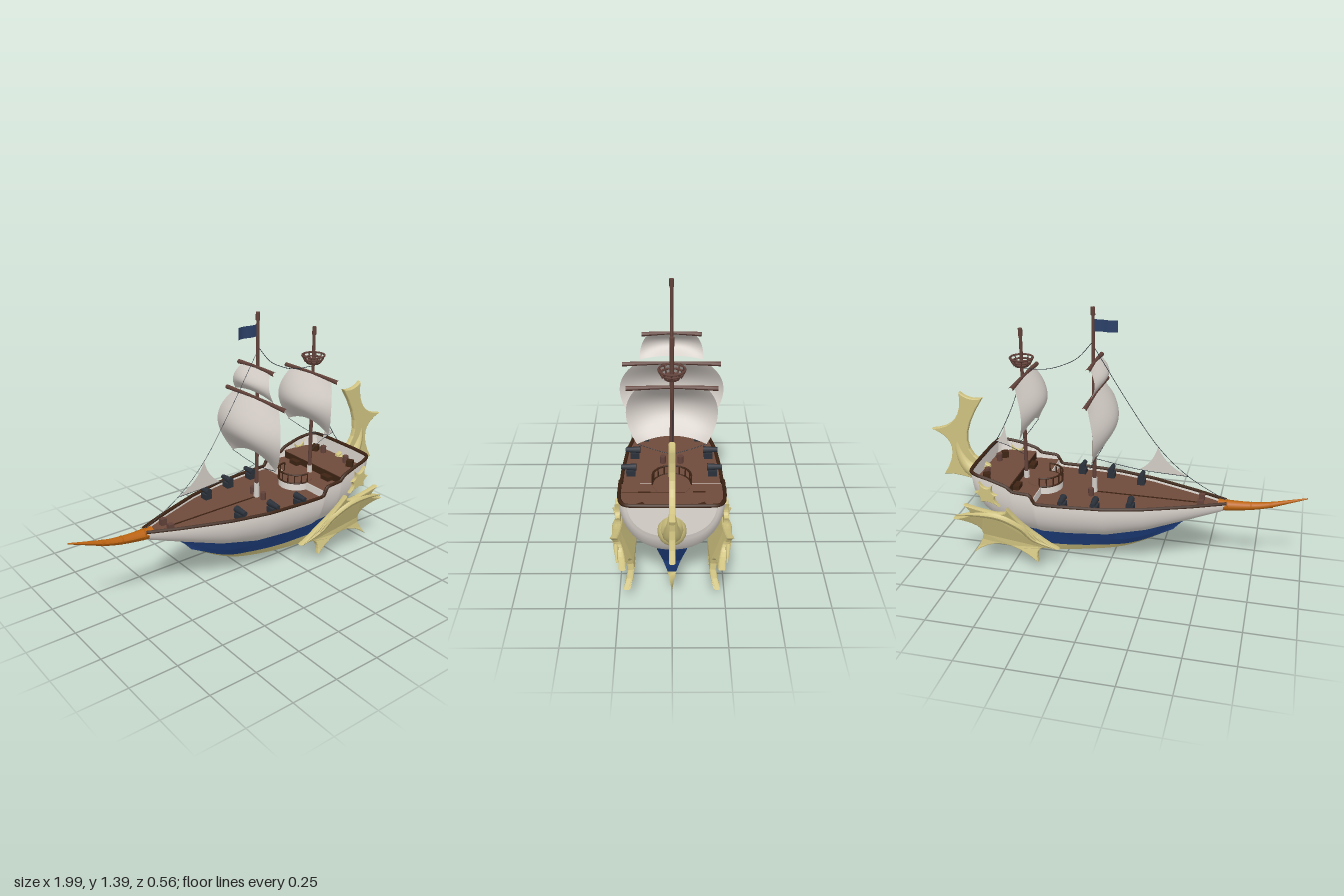
import * as THREE from 'three';

const mat = (name, color, side = THREE.FrontSide) => Object.assign(new THREE.MeshStandardMaterial({ color, side }), { name });
const V = (x, y, z = 0) => new THREE.Vector3(x, y, z);
const lerp = THREE.MathUtils.lerp;

// piecewise linear lookup in rows [key, value, value...]
function look(rows, k) {
  let i = 0;
  while (i < rows.length - 2 && k > rows[i + 1][0]) i++;
  const a = rows[i], b = rows[i + 1];
  const t = THREE.MathUtils.clamp((k - a[0]) / (b[0] - a[0]), 0, 1);
  return a.slice(1).map((v, j) => lerp(v, b[j + 1], t));
}

// smooth surface from a function of (u, v) in 0..1
function grid(nu, nv, fn) {
  const pos = [], idx = [];
  for (let i = 0; i <= nu; i++) for (let j = 0; j <= nv; j++) pos.push(...fn(i / nu, j / nv));
  for (let i = 0; i < nu; i++) for (let j = 0; j < nv; j++) {
    const a = i * (nv + 1) + j, b = a + nv + 1;
    idx.push(a, b, a + 1, b, b + 1, a + 1);
  }
  const g = new THREE.BufferGeometry();
  g.setAttribute('position', new THREE.Float32BufferAttribute(pos, 3));
  g.setIndex(idx);
  g.computeVertexNormals();
  return g;
}

// tube through points whose radius follows a rule
function tube(pts, radius, sides = 6, seg = 24, tension = 0.5) {
  const curve = new THREE.CatmullRomCurve3(pts, false, 'catmullrom', tension);
  const g = new THREE.TubeGeometry(curve, seg, 1, sides), p = g.attributes.position;
  const r = typeof radius === 'function' ? radius : () => radius;
  for (let i = 0; i < p.count; i++) {
    const t = Math.floor(i / (sides + 1)) / seg, c = curve.getPointAt(t);
    const q = V(p.getX(i), p.getY(i), p.getZ(i)).sub(c).multiplyScalar(r(t)).add(c);
    p.setXYZ(i, q.x, q.y, q.z);
  }
  g.computeVertexNormals();
  return g;
}

// outline alternating sharp tips and the hollows between them
function thorns(list) {
  const s = new THREE.Shape();
  s.moveTo(...list[0]);
  for (let i = 1; i < list.length; i += 2) s.quadraticCurveTo(...list[i], ...list[(i + 1) % list.length]);
  return s;
}
const plate = (shape, depth, bevel) => new THREE.ExtrudeGeometry(shape, {
  depth, bevelThickness: bevel, bevelSize: bevel * 0.6, bevelOffset: -bevel * 0.4, bevelSegments: 2, curveSegments: 8,
}).translate(0, 0, -depth / 2);

// hull stations: x, half width, sheer height, bottom height
const stations = [
  [-0.6, 0.025, 0.42, 0.375], [-0.43, 0.098, 0.42, 0.315], [-0.2, 0.182, 0.42, 0.235], [0, 0.23, 0.42, 0.19],
  [0.2, 0.248, 0.42, 0.175], [0.34, 0.252, 0.42, 0.172], [0.37, 0.252, 0.468, 0.173], [0.46, 0.252, 0.475, 0.18],
  [0.49, 0.25, 0.5, 0.187], [0.58, 0.246, 0.528, 0.215], [0.64, 0.24, 0.54, 0.265], [0.68, 0.225, 0.547, 0.33], [0.695, 0.2, 0.55, 0.38],
];
const section = (x, a) => {
  const [w, top, low] = look(stations, x);
  return [x, top - (top - low) * Math.cos(a), w * Math.sign(a) * Math.pow(Math.abs(Math.sin(a)), 0.85)];
};
const widthAt = (x, y) => {
  const [w, top, low] = look(stations, x);
  const s = THREE.MathUtils.clamp((top - y) / (top - low), 0, 1);
  return w * Math.pow(Math.sqrt(1 - s * s), 0.85);
};

export function createModel() {
  const D = THREE.DoubleSide;
  const white = mat('hull white', 0xe2dbd4, D), cloth = mat('sail cloth', 0xd3ccc6, D), blue = mat('keel blue', 0x1f4080, D);
  const gold = mat('horn gold', 0xcfc280, D), deckMat = mat('deck brown', 0x6e4a3b, D), trim = mat('dark trim', 0x3e2414);
  const wood = mat('mast brown', 0x62423a), orange = mat('bowsprit orange', 0xbd640f), iron = mat('iron', 0x2b313a), navy = mat('flag navy', 0x2b4068, D);
  const root = new THREE.Group();
  const add = (name, geo, m, x = 0, y = 0, z = 0) => {
    const mesh = new THREE.Mesh(geo, m);
    mesh.name = name;
    mesh.position.set(x, y, z);
    root.add(mesh);
    return mesh;
  };
  const cyl = (a, b, h, n = 10) => new THREE.CylinderGeometry(a, b, h, n);
  const box = (a, b, c) => new THREE.BoxGeometry(a, b, c);

  // hull shell, transom and bow end; u is mapped so every station is met
  const xs = [];
  stations.forEach((s, i) => { if (i) xs.push(lerp(stations[i - 1][0], s[0], 0.5)); xs.push(s[0]); });
  xs.sort((a, b) => a - b);
  const n = xs.length - 1;
  add('hull', grid(n, 28, (u, v) => section(xs[Math.round(u * n)], (v - 0.5) * Math.PI * 0.99999)), white);
  for (const x of [-0.6, 0.695]) add(x > 0 ? 'transom' : 'bowEnd', grid(4, 28, (u, v) => {
    const [, y, z] = section(x, (v - 0.5) * Math.PI * 0.99999);
    return [x, y, z * (1 - u)];
  }), white);

  // decks and the bulkheads between them
  const deck = (name, x0, x1, y) => add(name, grid(24, 2, (u, v) => {
    const x = lerp(x0, x1, u);
    return [x, y, (1 - 2 * v) * (widthAt(x, y) - 0.002)];
  }), deckMat);
  deck('mainDeck', -0.595, 0.37, 0.398);
  deck('midDeck', 0.36, 0.5, 0.44);
  deck('sternDeck', 0.49, 0.692, 0.478);
  add('bulkhead', box(0.006, 0.045, 0.48), white, 0.36, 0.417);
  add('bulkhead', box(0.006, 0.04, 0.47), trim, 0.49, 0.458);
  add('centrePlank', box(0.55, 0.004, 0.006), trim, -0.18, 0.4);

  // gunwale rail around the whole sheer
  const side = stations.map(([x, w, y]) => V(x, y, w - 0.004));
  const rail = [...side, V(0.7, 0.552, 0.1), V(0.7, 0.552, -0.1), ...side.slice().reverse().map(p => V(p.x, p.y, -p.z))];
  add('gunwale', tube(rail, 0.0095, 6, 220, 0.12), trim);

  // keel lofted from four rows, each closed around bow and stern
  const rows = [
    [0.07, [-0.44, 0.33], [-0.2, 0.25], [0.06, 0.205], [0.33, 0.19], [0.61, 0.24]],
    [0.042, [-0.37, 0.27], [-0.16, 0.175], [0.05, 0.138], [0.3, 0.118], [0.55, 0.125]],
    [0.02, [-0.33, 0.225], [-0.13, 0.13], [0.05, 0.09], [0.25, 0.064], [0.55, 0.056]],
    [0.001, [-0.32, 0.222], [-0.18, 0.14], [-0.05, 0.083], [0.17, 0.035], [0.38, 0.01], [0.62, 0.003]],
  ].map(([w, ...p]) => ({ w, c: new THREE.CatmullRomCurve3(p.map(q => V(...q))) }));
  const band = (i, j) => grid(61, 4, (u, v) => {
    const k = Math.round(u * 61), t = (k < 31 ? k : 61 - k) / 30;
    const p = rows[i].c.getPoint(t).lerp(rows[j].c.getPoint(t), v);
    return [p.x, p.y, lerp(rows[i].w, rows[j].w, v) * Math.min(1, t * 3 + 0.03) * (k < 31 ? 1 : -1)];
  });
  add('upperKeel', band(0, 1), blue);
  add('lowerKeel', band(1, 2), blue);
  add('keelShoe', band(2, 3), gold);

  // bowsprit with collars
  add('bowsprit', tube([V(-0.56, 0.4), V(-0.7, 0.409), V(-0.8, 0.425), V(-0.9, 0.455), V(-0.998, 0.486)], t => 0.028 * (1 - t) + 0.003, 10), orange);
  [[-0.6, 0.402, 0.03], [-0.72, 0.411, 0.022], [-0.82, 0.43, 0.016]].forEach(([x, y, r]) => {
    add('bowspritCollar', cyl(r, r * 0.9, 0.02), orange, x, y).rotation.z = 1.4;
  });

  // masts, yards and crow's nest
  for (const [x, top] of [[0.092, 1.39], [0.465, 1.26]]) {
    add('mast', cyl(0.008, 0.011, top - 0.4), wood, x, (top + 0.4) / 2);
    add('mastCap', cyl(0.011, 0.011, 0.04), wood, x, top - 0.02);
    add('mastSleeve', cyl(0.014, 0.016, 0.08), cloth, x, 0.44);
  }
  for (const [x, y, h] of [[0.085, 1.11, 0.143], [0.08, 0.95, 0.24], [0.455, 1.01, 0.205]]) {
    add('yard', tube([V(x, y, -h), V(x, y + 0.006, 0), V(x, y, h)], t => 0.007 + 0.005 * Math.abs(2 * t - 1), 8, 12), wood);
  }
  add('nestFloor', cyl(0.042, 0.036, 0.012, 12), wood, 0.465, 1.07);
  for (const [r, y] of [[0.059, 1.108], [0.05, 1.09]]) add('nestRing', new THREE.TorusGeometry(r, 0.005, 6, 20).rotateX(Math.PI / 2), wood, 0.465, y);
  for (let i = 0; i < 10; i++) {
    const a = i * Math.PI / 5, c = Math.cos(a), s = Math.sin(a);
    add('nestSlat', tube([V(0.465 + 0.04 * c, 1.07, 0.04 * s), V(0.465 + 0.06 * c, 1.11, 0.06 * s)], 0.005, 4, 1), wood);
  }

  // billowing square sails: x, top, bottom, three half widths, edge and centre belly
  const sail = (x, top, low, w, edge, belly, arc) => add('squareSail', grid(20, 16, (u, v) => {
    const s = 2 * u - 1, c = 1 - s * s;
    const half = w[0] * (1 - v) * (1 - 2 * v) + 4 * w[1] * v * (1 - v) + w[2] * v * (2 * v - 1);
    return [x - 0.01 * v - Math.sin(Math.PI * v) * (edge + belly * c), lerp(top, low, v) + arc * c * v * v, half * s];
  }), cloth);
  sail(0.08, 1.11, 0.97, [0.11, 0.145, 0.155], 0.025, 0.027, 0.02);
  sail(0.08, 0.95, 0.615, [0.18, 0.26, 0.18], 0.045, 0.05, 0.05);
  sail(0.452, 1.01, 0.715, [0.155, 0.21, 0.16], 0.04, 0.05, 0.045);

  // triangular sails and flag
  add('foreSail', new THREE.ShapeGeometry(thorns([[-0.4, 0.54], [-0.28, 0.59], [-0.24, 0.69], [-0.22, 0.6], [-0.147, 0.555], [-0.27, 0.545]])), cloth);
  add('aftSail', new THREE.ShapeGeometry(thorns([[0.55, 0.61], [0.575, 0.66], [0.575, 0.735], [0.59, 0.66], [0.63, 0.635], [0.59, 0.63]])), cloth);
  add('flag', grid(12, 2, (u, v) => [0.09 - 0.12 * u, 1.33 - 0.06 * v, 0.008 * Math.sin(u * 7) * u]), navy);

  // rigging
  const rope = (...p) => add('rope', tube(p.map(q => V(...q)), 0.0016, 4, 16), iron);
  rope([0.1, 1.21], [-0.08, 0.92], [-0.24, 0.69], [-0.4, 0.54], [-0.6, 0.425]);
  rope([0.1, 1.21], [0.17, 1.13], [0.25, 1.085], [0.34, 1.057], [0.465, 1.05]);
  rope([-0.4, 0.54], [-0.15, 0.552], [0.09, 0.59]);
  rope([0.465, 1.02], [0.52, 0.86], [0.575, 0.735], [0.63, 0.635], [0.69, 0.55]);
  rope([0.465, 0.57], [0.55, 0.61], [0.63, 0.635]);
  for (const s of [1, -1]) {
    rope([0.07, 0.615, 0.18 * s], [0.08, 0.595, 0.09 * s], [0.09, 0.58, 0]);
    rope([0.44, 0.715, 0.16 * s], [0.455, 0.69, 0.07 * s], [0.465, 0.675, 0]);
  }

  // stern horn with a bulbous root
  add('sternHorn', plate(thorns([
    [0.67, 0.49], [0.9, 0.56], [0.69, 0.873], [0.76, 0.85], [0.815, 0.895], [0.8, 0.7], [0.985, 0.675],
    [0.8, 0.62], [0.932, 0.415], [0.83, 0.43], [0.68, 0.375], [0.66, 0.43],
  ]), 0.012, 0.008), gold);
  add('sternHornRoot', new THREE.SphereGeometry(1, 18, 12), gold, 0.705, 0.42).scale.set(0.06, 0.07, 0.066);
  add('sternHornNeck', tube([V(0.71, 0.44), V(0.79, 0.47), V(0.84, 0.56), V(0.845, 0.66)], t => 0.05 * (1 - t) + 0.006, 10), gold);

  // side horns, bent to hug the hull and flare at the tips
  const flare = [[0.05, 0.22], [0.14, 0.19], [0.22, 0.2], [0.3, 0.235], [0.4, 0.272]];
  const claw = plate(thorns([
    [0.24, 0.14], [0.4, 0.22], [0.485, 0.39], [0.48, 0.31], [0.715, 0.385], [0.64, 0.31], [0.8, 0.273],
    [0.56, 0.255], [0.7, 0.075], [0.56, 0.2], [0.345, 0.067], [0.38, 0.165],
  ]), 0.012, 0.01);
  const p = claw.attributes.position;
  for (let i = 0; i < p.count; i++) p.setZ(i, p.getZ(i) + look(flare, p.getY(i))[0]);
  claw.computeVertexNormals();
  const crest = plate(thorns([
    [0.53, 0.385], [0.58, 0.43], [0.54, 0.45], [0.585, 0.45], [0.565, 0.5], [0.6, 0.46], [0.635, 0.515],
    [0.62, 0.46], [0.66, 0.455], [0.62, 0.44], [0.63, 0.405], [0.59, 0.42],
  ]), 0.012, 0.006);
  const arc = [[0.78, 0.3], [0.66, 0.33], [0.53, 0.33], [0.43, 0.27], [0.37, 0.19], [0.25, 0.14]];
  for (const s of [1, -1]) {
    const g = new THREE.Group();
    g.name = s > 0 ? 'leftHorns' : 'rightHorns';
    g.scale.z = s;
    const hornArc = tube(arc.map(([x, y]) => V(x, y, look(flare, y)[0] + 0.012)), t => 0.003 + 0.02 * Math.sin(Math.PI * t), 8);
    for (const [name, geo, z] of [['claw', claw, 0], ['hornArc', hornArc, 0], ['crest', crest, 0.247]]) {
      const m = new THREE.Mesh(geo, gold);
      m.name = name;
      m.position.z = z;
      g.add(m);
    }
    root.add(g);

    // cannons on wooden carriages
    for (const [x, z] of [[-0.13, 0.155], [0.045, 0.2], [0.21, 0.215]]) {
      add('cannon', cyl(0.012, 0.018, 0.075), iron, x, 0.442, z * s).rotation.x = Math.PI / 2 * s;
      add('carriage', box(0.04, 0.03, 0.045), iron, x, 0.413, (z - 0.01) * s);
    }
    // cargo at bow, midships and stern
    add('bowCrate', box(0.03, 0.035, 0.025), wood, -0.47, 0.415, 0.035 * s);
    add('barrel', cyl(0.015, 0.015, 0.04), wood, 0.1, 0.418, 0.045 * s);
    add('sternCrate', box(0.035, 0.035, 0.035), trim, 0.635, 0.495, 0.14 * s).rotation.y = 0.5;
    add('sternBarrel', cyl(0.016, 0.016, 0.04), wood, 0.65, 0.498, 0.09 * s);
    add('stair', box(0.04, 0.025, 0.06), trim, 0.475, 0.45, 0.13 * s);
  }

  // half-round balcony ahead of the raised deck
  add('balcony', cyl(0.095, 0.095, 0.04, 24), white, 0.365, 0.415);
  add('balconyFloor', cyl(0.093, 0.093, 0.008, 24), deckMat, 0.365, 0.438);
  const around = i => [0.365 - 0.095 * Math.sin(i * Math.PI / 8), 0.095 * Math.cos(i * Math.PI / 8)];
  const ring = Array.from({ length: 9 }, (_, i) => around(i));
  for (const y of [0.44, 0.488]) add('balconyRail', tube(ring.map(([x, z]) => V(x, y, z)), 0.005), trim);
  for (const [x, z] of ring) add('balconyPost', cyl(0.0035, 0.0035, 0.05, 6), trim, x, 0.464, z);
  return root;
}
